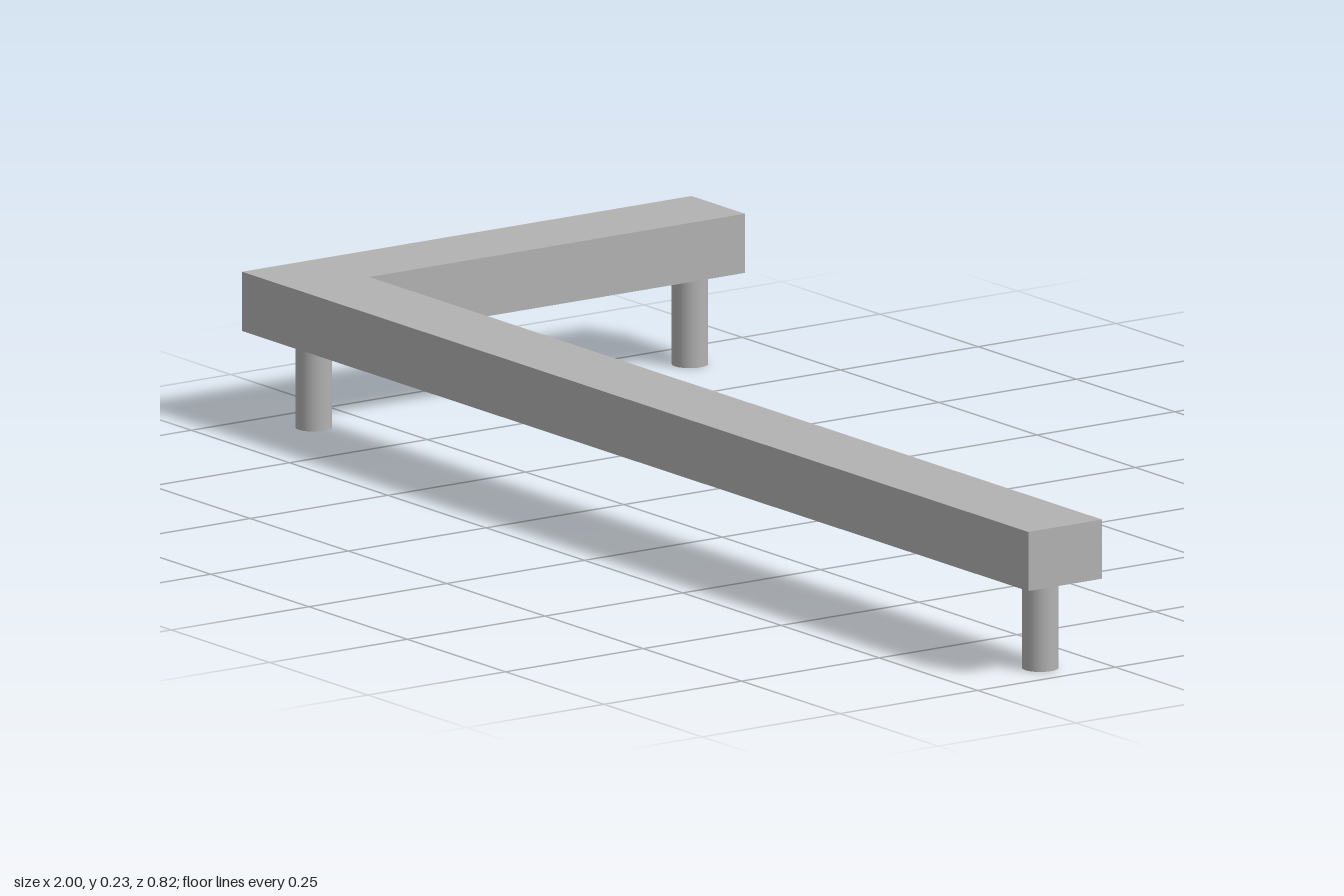
import * as THREE from 'three';

export function createModel() {
  const model = new THREE.Group();
  const grey = new THREE.MeshStandardMaterial({ color: 0xb2b2b2 });
  grey.name = 'grey';

  const legHeight = 0.138;
  const slabHeight = 0.09;

  // L-shaped slab, drawn in plan (shape y = -z) and extruded upwards
  const plan = new THREE.Shape([
    [-1, -0.408], [1, -0.408], [1, -0.274], [-0.864, -0.274], [-0.864, 0.408], [-1, 0.408],
  ].map(([x, y]) => new THREE.Vector2(x, y)));
  const slabGeometry = new THREE.ExtrudeGeometry(plan, { depth: slabHeight, bevelEnabled: false });
  slabGeometry.rotateX(-Math.PI / 2);
  const slab = new THREE.Mesh(slabGeometry, grey);
  slab.name = 'slab';
  slab.position.y = legHeight;
  model.add(slab);

  // Round legs at the corner and at the end of each arm
  const legGeometry = new THREE.CylinderGeometry(0.027, 0.027, legHeight, 32);
  const legs = { cornerLeg: [-0.91, 0.342], longArmLeg: [0.938, 0.342], shortArmLeg: [-0.91, -0.341] };
  for (const [name, [x, z]] of Object.entries(legs)) {
    const leg = new THREE.Mesh(legGeometry, grey);
    leg.name = name;
    leg.position.set(x, legHeight / 2, z);
    model.add(leg);
  }

  return model;
}
